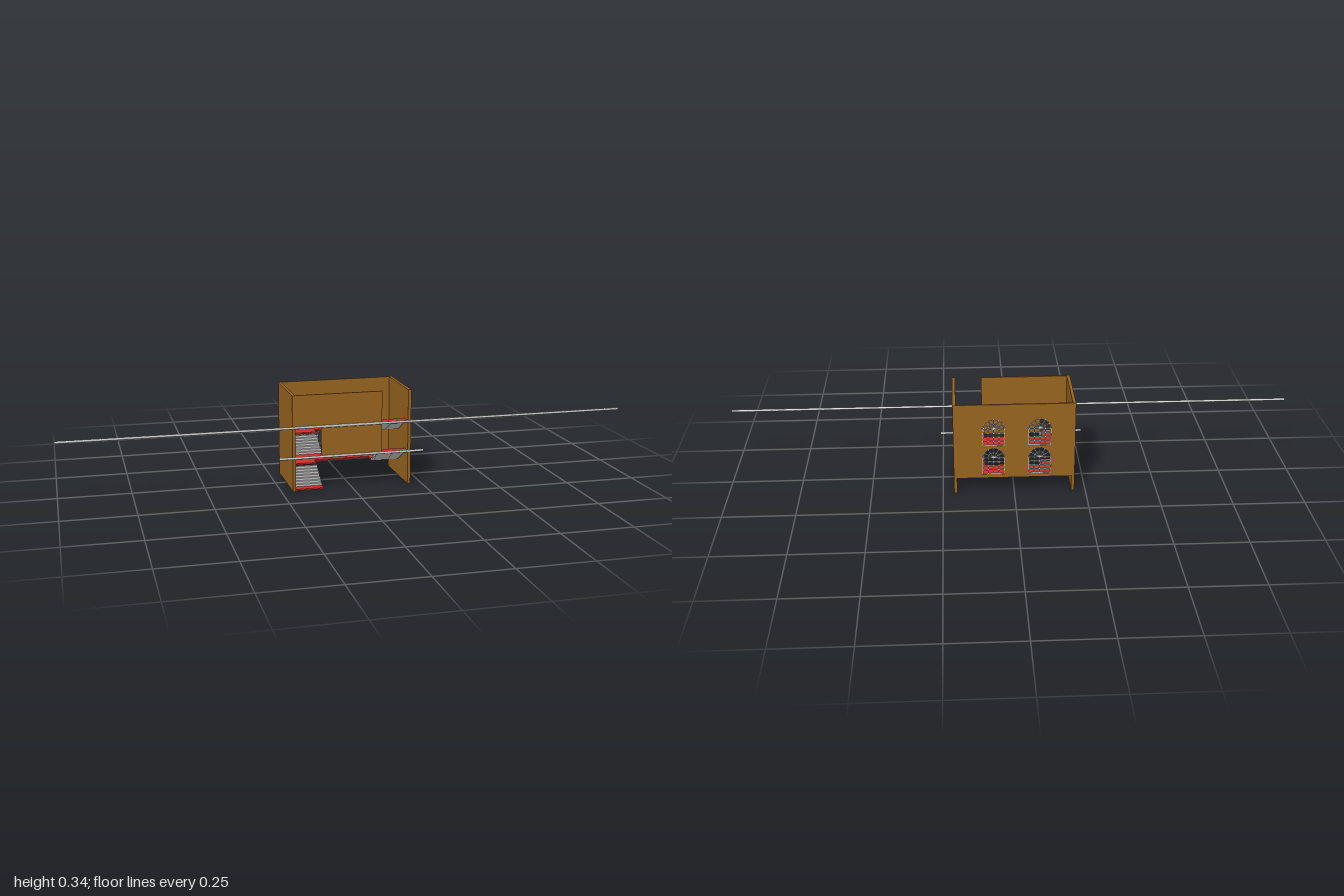
import * as THREE from 'three';

const brown = new THREE.MeshStandardMaterial({ color: 0x9c6720 });
const red = new THREE.MeshStandardMaterial({ color: 0xcc3229 });
const grey = new THREE.MeshStandardMaterial({ color: 0xcccccc });

export function createModel() {
  const model = new THREE.Group();

  const add = (name, geometry, material, parent = model) => {
    const mesh = new THREE.Mesh(geometry, material);
    mesh.name = name;
    parent.add(mesh);
    return mesh;
  };
  // Box given by its minimum and maximum corners
  const box = (name, material, [x0, y0, z0], [x1, y1, z1], parent) => {
    const g = new THREE.BoxGeometry(x1 - x0, y1 - y0, z1 - z0);
    g.translate((x0 + x1) / 2, (y0 + y1) / 2, (z0 + z1) / 2);
    return add(name, g, material, parent);
  };
  const polygon = (pts) => new THREE.Shape(pts.map(([x, y]) => new THREE.Vector2(x, y)));
  const extrude = (shape, depth) =>
    new THREE.ExtrudeGeometry(shape, { depth, bevelEnabled: false, curveSegments: 12 });

  // Side walls
  box('leftSideWall', brown, [0.2, 0, -0.122], [0.211, 0.338, 0.12]);
  box('rightSideWall', brown, [-0.211, 0, -0.122], [-0.2, 0.338, 0.12]);

  // Back wall with four arched openings
  const r = 0.039, straight = 0.062;
  const windows = [];
  for (const x of [-0.088, 0.072]) for (const y of [0.072, 0.182]) windows.push([x, y]);
  const back = polygon([[-0.2, 0.058], [0.2, 0.058], [0.2, 0.338], [-0.2, 0.338]]);
  for (const [x, y] of windows) {
    const hole = new THREE.Path();
    hole.moveTo(x - r, y);
    hole.lineTo(x + r, y);
    hole.lineTo(x + r, y + straight);
    hole.absarc(x, y + straight, r, 0, Math.PI, false);
    hole.closePath();
    back.holes.push(hole);
  }
  add('backWall', extrude(back, 0.006).translate(0, 0, -0.122), brown);

  // Window bars: grid below, fan in the arch
  for (const [x, y] of windows) {
    const win = new THREE.Group();
    win.name = 'windowBars';
    win.position.set(x, y, -0.119);
    model.add(win);
    const t = 0.0015, d = 0.002;
    for (let i = 0; i <= 4; i++) {
      const bx = (-1 + i / 2) * (r - t);
      box('uprightBar', grey, [bx - t, 0, -d], [bx + t, straight, d], win);
    }
    for (let i = 0; i <= 4; i++) {
      const by = t + (i / 4) * (straight - t);
      box('crossBar', grey, [-r, by - t, -d], [r, by + t, d], win);
    }
    for (const radius of [r - t, r * 0.5]) {
      const arch = add('archBar', new THREE.TorusGeometry(radius, 0.002, 4, 14, Math.PI), grey, win);
      arch.position.y = straight;
    }
    for (let i = 1; i < 6; i++) {
      const g = new THREE.BoxGeometry(r, 2 * t, 2 * d).translate(r / 2, 0, 0);
      const spoke = add('fanBar', g, grey, win);
      spoke.position.y = straight;
      spoke.rotation.z = (i * Math.PI) / 6;
    }
  }

  // Front wall, stepped on one side over the stair opening
  const front = polygon([[-0.11, 0.118], [0.107, 0.118], [0.107, 0.338],
    [-0.2, 0.338], [-0.2, 0.228], [-0.11, 0.228]]);
  add('frontWall', extrude(front, 0.006).translate(0, 0, 0.111), brown);

  // U-shaped floors
  const thick = 0.005;
  const levels = [0.065, 0.177];
  for (const top of levels) {
    const plan = polygon([[-0.2, 0], [-0.1, 0], [-0.1, 0.036], [0.1, 0.036],
      [0.1, 0], [0.2, 0], [0.2, 0.116], [-0.2, 0.116]]);
    add('floor', extrude(plan, thick).rotateX(-Math.PI / 2).translate(0, top - thick, 0), red);
  }

  // Stair flights between z = 0 and z = 0.08, each with a landing at the front
  const flight = (x0, backY, frontY) => {
    const stairs = new THREE.Group();
    stairs.name = 'stairFlight';
    model.add(stairs);
    const n = 7, run = 0.08 / n, rise = (frontY - backY) / (n + 1);
    for (let i = 0; i < n; i++) {
      const top = backY + rise * (i + 1);
      const bottom = Math.max(0, top - Math.abs(rise) - 0.003);
      box('step', grey, [x0, bottom, i * run], [x0 + 0.1, top, (i + 1) * run], stairs);
    }
    box('landing', red, [x0, frontY - thick, 0.08], [x0 + 0.1, frontY, 0.111]);
  };
  flight(-0.2, levels[0], thick);
  flight(-0.2, levels[1], 0.12);
  flight(0.1, levels[0], 0.12);
  flight(0.1, levels[1], 0.228);

  // Horizontal rods along the front
  for (const [name, y, length] of [['longRod', 0.225, 2], ['shortRod', 0.118, 0.515]]) {
    const rod = add(name, new THREE.CylinderGeometry(0.0045, 0.0045, length, 8), grey);
    rod.rotation.z = Math.PI / 2;
    rod.position.set(0, y, 0.1175);
  }

  return model;
}
